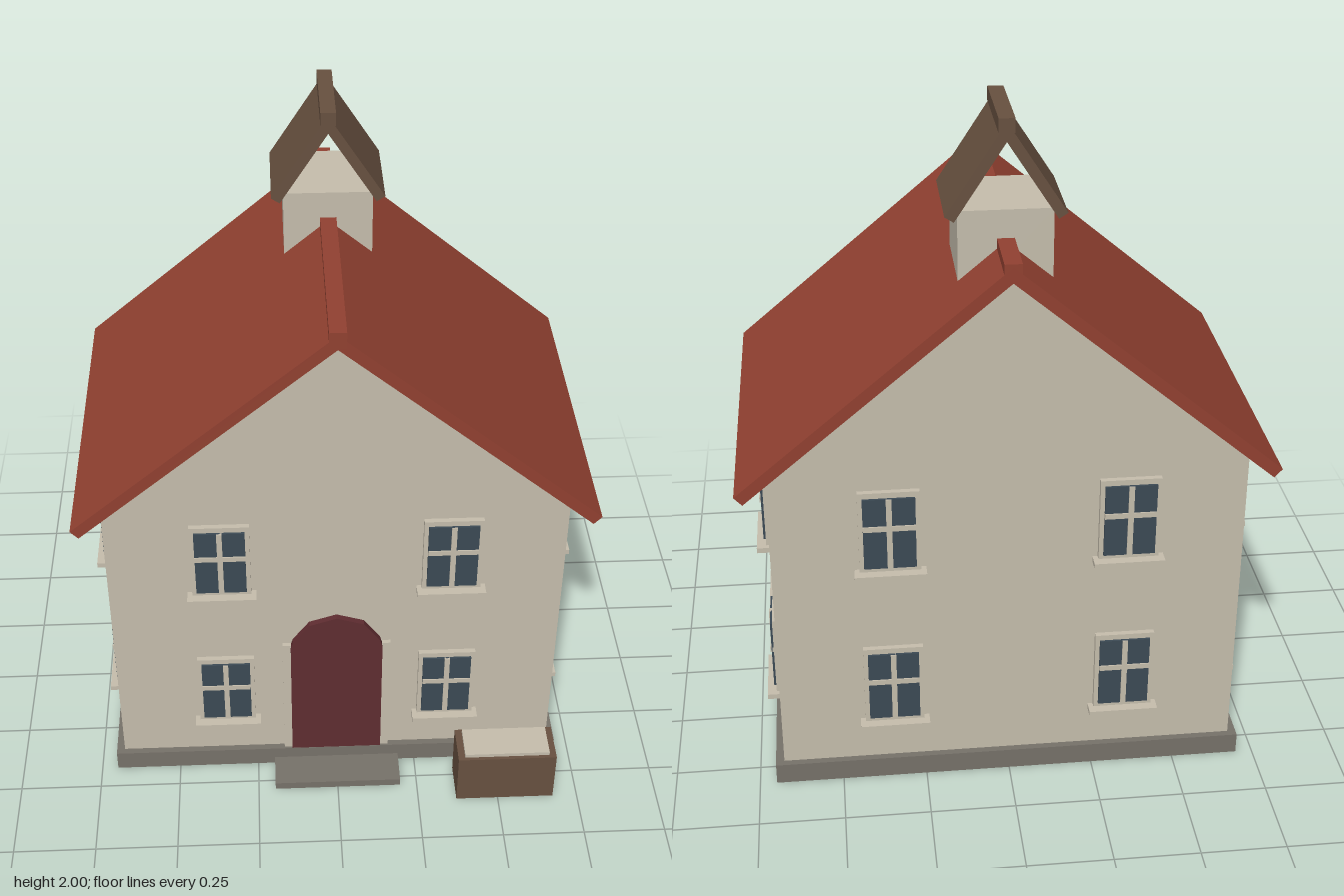
import * as THREE from 'three';

const material = (name, color) => {
  const m = new THREE.MeshStandardMaterial({ color });
  m.name = name;
  return m;
};

export function createModel() {
  const plaster = material('plaster', 0xc6bead);
  const tile = material('red roof tile', 0x924131);
  const stone = material('stone', 0x77726a);
  const wood = material('brown wood', 0x685140);
  const doorPaint = material('door paint', 0x602d31);
  const glass = material('window glass', 0x3c4a55);

  const house = new THREE.Group();
  house.name = 'house';

  const add = (parent, name, geometry, mat) => {
    const mesh = new THREE.Mesh(geometry, mat);
    mesh.name = name;
    parent.add(mesh);
    return mesh;
  };

  // Box given by its lower and upper limits on each axis
  const box = (parent, name, mat, x0, x1, y0, y1, z0, z1) => {
    const mesh = add(parent, name, new THREE.BoxGeometry(x1 - x0, y1 - y0, z1 - z0), mat);
    mesh.position.set((x0 + x1) / 2, (y0 + y1) / 2, (z0 + z1) / 2);
    return mesh;
  };

  // Outline in x and y, extruded from z0 to z1
  const prism = (parent, name, mat, points, z0, z1) => {
    const shape = new THREE.Shape(points.map(([x, y]) => new THREE.Vector2(x, y)));
    const geometry = new THREE.ExtrudeGeometry(shape, { depth: z1 - z0, bevelEnabled: false });
    geometry.translate(0, 0, z0);
    return add(parent, name, geometry, mat);
  };

  // Two mirrored roof slabs with a ridge cap
  const gableRoof = (name, mat, half, ridge, z0, z1) => {
    const roof = new THREE.Group();
    roof.name = name;
    for (const side of [-1, 1]) {
      prism(roof, 'roofSlab', mat, half.map(([x, y]) => [x * side, y]), z0, z1);
    }
    box(roof, 'ridgeCap', mat, -ridge.w, ridge.w, ridge.y0, ridge.y1, z0, z1);
    house.add(roof);
  };

  // Foundation, gabled walls and main roof
  box(house, 'foundation', stone, -0.7, 0.7, 0, 0.065, -0.575, 0.425);
  prism(house, 'walls', plaster,
    [[-0.675, 0.065], [0.675, 0.065], [0.675, 1.045], [0, 1.615], [-0.675, 1.045]], -0.555, 0.405);
  gableRoof('mainRoof', tile,
    [[0, 1.655], [0.76, 1.012], [0.737, 0.987], [0, 1.61]],
    { w: 0.024, y0: 1.615, y1: 1.664 }, -0.6, 0.45);

  // Belfry with its own open gable roof
  box(house, 'belfry', plaster, -0.13, 0.13, 1.45, 1.745, -0.42, -0.16);
  gableRoof('belfryRoof', wood,
    [[0, 1.99], [0.165, 1.735], [0.14, 1.719], [0, 1.936]],
    { w: 0.022, y0: 1.96, y1: 2 }, -0.435, -0.15);

  // Window facing +z, with its origin on the wall at the centre of the panes
  const makeWindow = () => {
    const w = new THREE.Group();
    w.name = 'window';
    box(w, 'windowFrame', plaster, -0.087, 0.087, -0.13, 0.13, -0.005, 0.016);
    box(w, 'windowGlass', glass, -0.074, 0.074, -0.112, 0.113, 0.016, 0.023);
    box(w, 'verticalBar', plaster, -0.008, 0.008, -0.112, 0.113, 0.016, 0.027);
    box(w, 'horizontalBar', plaster, -0.074, 0.074, 0.011, 0.027, 0.016, 0.027);
    box(w, 'windowSill', plaster, -0.102, 0.102, -0.142, -0.126, -0.005, 0.043);
    return w;
  };

  // Two floors of two windows on each of the four walls
  const walls = [
    { turn: 0, out: 0.405 + 0.075, spread: 0.34 },
    { turn: Math.PI / 2, out: 0.675, spread: 0.238 },
    { turn: Math.PI, out: 0.555 - 0.075, spread: 0.34 },
    { turn: -Math.PI / 2, out: 0.675, spread: 0.238 },
  ];
  for (const { turn, out, spread } of walls) {
    const row = new THREE.Group();
    row.name = 'wallWindows';
    for (const y of [0.332, 0.856]) {
      for (const side of [-1, 1]) {
        const w = makeWindow();
        w.position.set(side * spread, y, out);
        row.add(w);
      }
    }
    row.rotation.y = turn;
    row.position.z = -0.075;
    house.add(row);
  }

  // Arched door with side posts and a step
  const arch = [18, 54, 90, 126, 162].map((deg) => {
    const a = THREE.MathUtils.degToRad(deg);
    return [0.14 * Math.cos(a), 0.482 + 0.14 * Math.sin(a)];
  });
  prism(house, 'door', doorPaint, [[-0.14, 0.065], [0.14, 0.065], [0.14, 0.5], ...arch, [-0.14, 0.5]], 0.4, 0.424);
  for (const side of [-1, 1]) {
    box(house, 'doorPost', plaster, side * 0.152 - 0.013, side * 0.152 + 0.013, 0.065, 0.51, 0.4, 0.418);
  }
  box(house, 'doorStep', stone, -0.197, 0.197, 0, 0.025, 0.42, 0.535);

  // Wooden chest with a pale top
  box(house, 'chest', wood, 0.37, 0.674, 0, 0.175, 0.472, 0.6);
  box(house, 'chestTop', plaster, 0.391, 0.653, 0.17, 0.187, 0.483, 0.589);

  return house;
}
